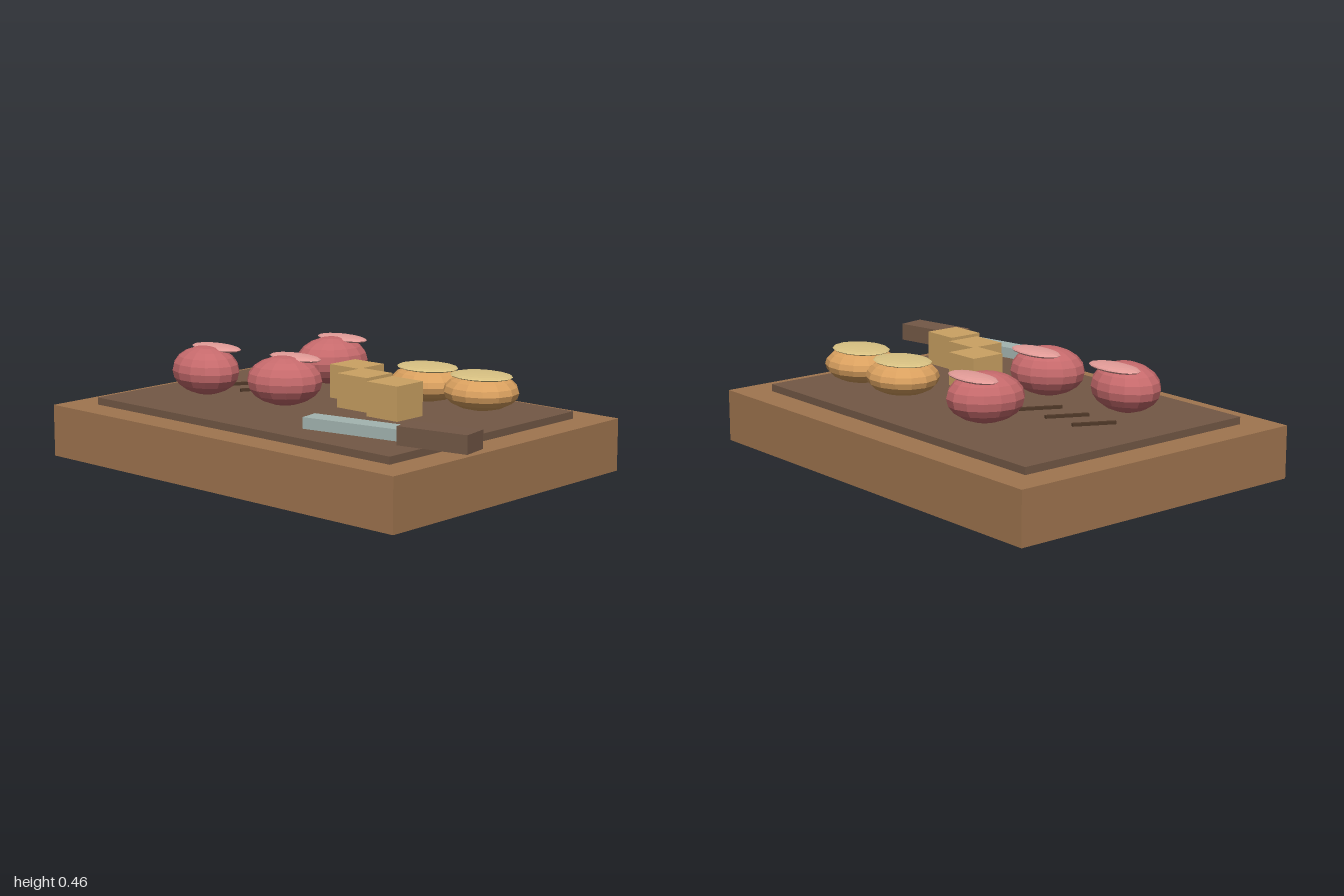
import * as THREE from 'three';

const mat = (color) => new THREE.MeshStandardMaterial({ color, flatShading: true });
const M = {
  board: mat(0xa0754f), inlay: mat(0x735845), meat: mat(0xc66a6c), fat: mat(0xe39c98),
  bun: mat(0xd9a05f), crust: mat(0xd9c283), cheese: mat(0xcba263), blade: mat(0xa3b4b0),
  handle: mat(0x735846), twig: mat(0x4f3828),
};

export function createModel() {
  const model = new THREE.Group();

  const place = (name, geometry, material, position, turn = 0) => {
    const mesh = new THREE.Mesh(geometry, material);
    mesh.name = name;
    mesh.position.set(...position);
    mesh.rotation.y = turn;
    model.add(mesh);
  };
  const box = (name, size, material, position, turn) =>
    place(name, new THREE.BoxGeometry(...size), material, position, turn);
  const ellipsoid = (name, radii, material, position, turn) =>
    place(name, new THREE.SphereGeometry(1, 14, 10).scale(...radii), material, position, turn);

  // Thick board with a thin darker panel on top
  box('board', [1.87, 0.215, 1.36], M.board, [-0.065, 0.1075, 0]);
  box('boardPanel', [1.61, 0.03, 1.105], M.inlay, [-0.065, 0.23, 0]);

  // Meat pieces, each turned further, with a pale slice of fat on top
  [[-0.555, 0.235, 0], [-0.155, 0.18, 0.55], [-0.332, -0.29, 1.1]].forEach(([x, z, turn]) => {
    ellipsoid('meat', [0.155, 0.1, 0.125], M.meat, [x, 0.357, z], turn);
    ellipsoid('fatSlice', [0.13, 0.015, 0.065], M.fat, [x, 0.443, z - 0.062]);
  });

  // Two round buns with flat pale crusts
  for (const x of [0.215, 0.495]) {
    ellipsoid('bun', [0.158, 0.075, 0.145], M.bun, [x, 0.335, -0.271]);
    ellipsoid('bunCrust', [0.136, 0.013, 0.108], M.crust, [x, 0.398, -0.271]);
  }

  // Cheese blocks
  for (const [x, z] of [[0.051, -0.025], [0.207, 0.1], [0.407, 0.149]]) {
    box('cheeseBlock', [0.157, 0.137, 0.15], M.cheese, [x, 0.354, z]);
  }

  // Thin twigs
  for (const x of [-0.617, -0.462, -0.307]) {
    box('twig', [0.175, 0.012, 0.015], M.twig, [x, 0.258, 0.012], 1.1);
  }

  // Knife with its handle past the board's edge
  box('knifeBlade', [0.435, 0.045, 0.085], M.blade, [0.484, 0.299, 0.445], 0.18);
  box('knifeHandle', [0.295, 0.072, 0.117], M.handle, [0.842, 0.306, 0.394], 0.18);

  return model;
}
